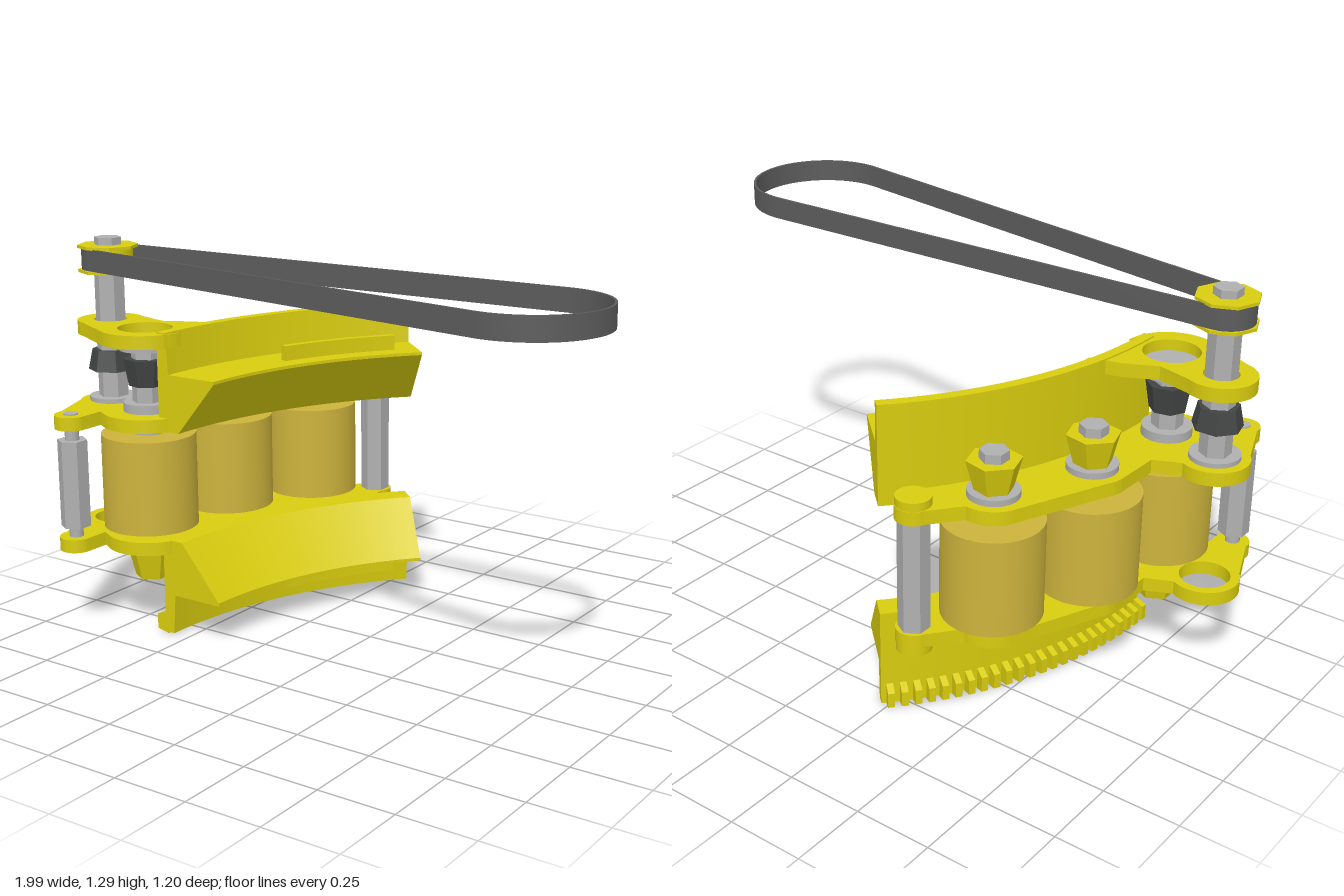
import * as THREE from 'three';
import { toCreasedNormals } from 'three/addons/utils/BufferGeometryUtils.js';

const mat = (name, color, side = THREE.FrontSide) => {
  const m = new THREE.MeshStandardMaterial({ color, side });
  m.name = name;
  return m;
};

export function createModel() {
  const root = new THREE.Group();
  const yellow = mat('yellow plastic', 0xd8cc0e);
  const tan = mat('roller tan', 0xccb33c);
  const steel = mat('steel', 0xb0b0b0);
  const rubber = mat('belt grey', 0x5c5c5c, THREE.DoubleSide);
  const dark = mat('dark hub', 0x424444);
  const rad = THREE.MathUtils.degToRad;

  const add = (name, geo, material) => {
    const m = new THREE.Mesh(geo, material);
    m.name = name;
    root.add(m);
    return m;
  };

  // Upright round or many-sided piece at [x, z], from y0 to y1
  const post = (name, [x, z], y0, y1, r, material, sides = 32, rTop = r, turn = 0) => {
    let g = new THREE.CylinderGeometry(rTop, r, y1 - y0, sides);
    if (sides < 12) g = toCreasedNormals(g, 0.3);
    const m = add(name, g, material);
    m.position.set(x, (y0 + y1) / 2, z);
    m.rotation.y = turn;
    return m;
  };

  // Horizontal sheet: shape is drawn in x and -z
  const sheet = (name, shape, y0, y1, material) => {
    const g = new THREE.ExtrudeGeometry(shape, { depth: y1 - y0, bevelEnabled: false, curveSegments: 28 });
    g.rotateX(-Math.PI / 2).translate(0, y0, 0);
    add(name, toCreasedNormals(g, 0.5), material);
  };

  // Sweep a (radius, height) section around the big centre, angles in degrees
  const centre = [0.75, 0.35];
  const sweep = (name, section, a0, a1, material, steps = 32) => {
    const shape = new THREE.Shape(section.map(([r, y]) => new THREE.Vector2(r, y)));
    const g = new THREE.ExtrudeGeometry(shape, { depth: 1, steps, bevelEnabled: false });
    const p = g.attributes.position;
    for (let i = 0; i < p.count; i++) {
      const r = p.getX(i), a = rad(a0 + (a1 - a0) * p.getZ(i));
      p.setXYZ(i, centre[0] - r * Math.cos(a), p.getY(i), centre[1] - r * Math.sin(a));
    }
    add(name, toCreasedNormals(g, 0.4), material);
  };

  const rollers = [[-0.69, 0.29], [-0.635, -0.05], [-0.5, -0.365]];
  const drive = [-0.89, 0.235], frontLug = [-0.855, 0.48], backLug = [-0.35, -0.55];

  const arc = (s, [x, z], r, from, to, cw = false) => s.absarc(x, -z, r, rad(from), rad(to), cw);
  const hole = (s, [x, z], r) => {
    const h = new THREE.Path();
    h.absarc(x, -z, r, 0, Math.PI * 2, true);
    s.holes.push(h);
  };

  // Roller carrier plates
  const carrier = (driveHole) => {
    const s = new THREE.Shape();
    arc(s, rollers[0], 0.15, -120, 0);
    arc(s, centre, 1.31, 180, 143, true);
    arc(s, backLug, 0.057, -30, 160);
    arc(s, rollers[2], 0.11, 80, 160);
    arc(s, rollers[1], 0.11, 150, 180);
    s.lineTo(-0.75, -0.1);
    arc(s, drive, 0.11, 60, 220);
    arc(s, frontLug, 0.055, 170, 350);
    s.lineTo(-0.8, -0.4);
    hole(s, drive, driveHole);
    hole(s, frontLug, 0.022);
    hole(s, backLug, 0.022);
    return s;
  };
  sheet('lowerCarrierPlate', carrier(0.08), 0.285, 0.33, yellow);
  sheet('upperCarrierPlate', carrier(0.07), 0.70, 0.745, yellow);

  // Top bearing plate
  const top = new THREE.Shape();
  arc(top, rollers[0], 0.15, -120, 0);
  arc(top, centre, 1.31, 180, 169, true);
  top.lineTo(-0.62, -0.12);
  top.lineTo(-0.72, -0.17);
  arc(top, drive, 0.11, 60, 255);
  hole(top, rollers[0], 0.09);
  hole(top, drive, 0.055);
  sheet('topBearingPlate', top, 0.975, 1.02, yellow);

  // Curved guards, mirrored about the middle height
  const guard = [[1.11, 0.14], [1.11, 0.15], [1.26, 0.33], [1.34, 0.33], [1.34, 0.005], [1.305, 0.005], [1.295, 0.14]];
  const ridge = [[1.175, 0.09], [1.2, 0.09], [1.2, 0.145], [1.175, 0.145]];
  const flip = (sec) => sec.map(([r, y]) => [r, 1.03 - y]);
  sweep('lowerGuard', guard, 0, 43, yellow);
  sweep('upperGuard', flip(guard), 0, 43, yellow);
  sweep('lowerGuardRidge', ridge, 19, 39, yellow, 12);
  sweep('upperGuardRidge', flip(ridge), 19, 39, yellow, 12);

  // Gear teeth around the foot of the lower guard
  const tooth = [[1.33, 0], [1.375, 0.01], [1.375, 0.06], [1.33, 0.08]];
  for (let i = 0; i < 24; i++) sweep('gearTooth', tooth, i * 1.8, i * 1.8 + 0.9, yellow, 1);

  // Rollers with shoulders
  for (const c of rollers) {
    post('roller', c, 0.355, 0.67, 0.157, tan, 48);
    post('rollerShaft', c, 0.27, 0.76, 0.055, steel);
    post('lowerShoulder', c, 0.33, 0.345, 0.075, steel);
    post('upperShoulder', c, 0.685, 0.70, 0.075, steel);
  }

  // Clamp caps and bolts over and under the idle rollers
  for (const c of rollers.slice(1)) {
    post('washer', c, 0.745, 0.765, 0.08, steel);
    post('clampCap', c, 0.765, 0.86, 0.06, yellow, 6, 0.085, 0.3);
    post('capBolt', c, 0.86, 0.89, 0.045, steel, 6);
    post('lowerBolt', c, 0.255, 0.285, 0.06, steel, 6);
  }

  // Driven roller: shaft extension, hub and bottom knob
  post('drivenShaft', rollers[0], 0.745, 0.96, 0.05, steel, 6);
  post('drivenHub', rollers[0], 0.83, 0.92, 0.06, dark, 7, 0.075, 0.2);
  post('shaftCollar', rollers[0], 0.745, 0.775, 0.08, steel);
  post('shaftEnd', rollers[0], 0.95, 0.985, 0.088, steel);
  post('lowerShaft', rollers[0], 0.26, 0.29, 0.06, steel);
  post('bottomKnob', rollers[0], 0.17, 0.265, 0.06, yellow, 6, 0.085);

  // Drive shaft, hub, pulley and bolt
  post('driveShaft', drive, 0.71, 1.2, 0.05, steel, 6);
  post('driveCollar', drive, 0.735, 0.76, 0.08, steel);
  post('driveHub', drive, 0.85, 0.92, 0.08, dark, 7, 0.065);
  post('pulley', drive, 1.185, 1.265, 0.082, yellow);
  for (const y of [1.18, 1.26]) post('pulleyFlange', drive, y, y + 0.01, 0.1, yellow, 8);
  post('pulleyBolt', drive, 1.27, 1.295, 0.045, steel, 6);

  // Standoffs joining the carrier plates
  for (const [c, y0, y1] of [[frontLug, 0.365, 0.66], [backLug, 0.33, 0.705]]) {
    post('standoff', c, y0, y1, 0.05, steel, 6);
    post('standoffScrew', c, 0.28, 0.75, 0.024, steel, 12);
  }
  post('lowerLugBoss', backLug, 0.255, 0.29, 0.055, yellow);
  post('upperLugBoss', backLug, 0.74, 0.772, 0.055, yellow);

  // Drive belt: tangent loop round the small pulley and a far arc
  const far = [0.755, 0.35], rs = 0.088, rf = 0.24;
  const dx = far[0] - drive[0], dy = drive[1] - far[1];
  const lean = Math.atan2(dy, dx), open = Math.acos((rs - rf) / Math.hypot(dx, dy));
  const loop = (path, t) => {
    path.absarc(far[0], -far[1], rf - t, lean - open, lean + open, false);
    path.absarc(drive[0], -drive[1], rs - t, lean + open, lean - open + Math.PI * 2, false);
    path.closePath();
    return path;
  };
  const belt = loop(new THREE.Shape(), 0);
  belt.holes.push(loop(new THREE.Path(), 0.008));
  sheet('driveBelt', belt, 1.19, 1.262, rubber);

  return root;
}
